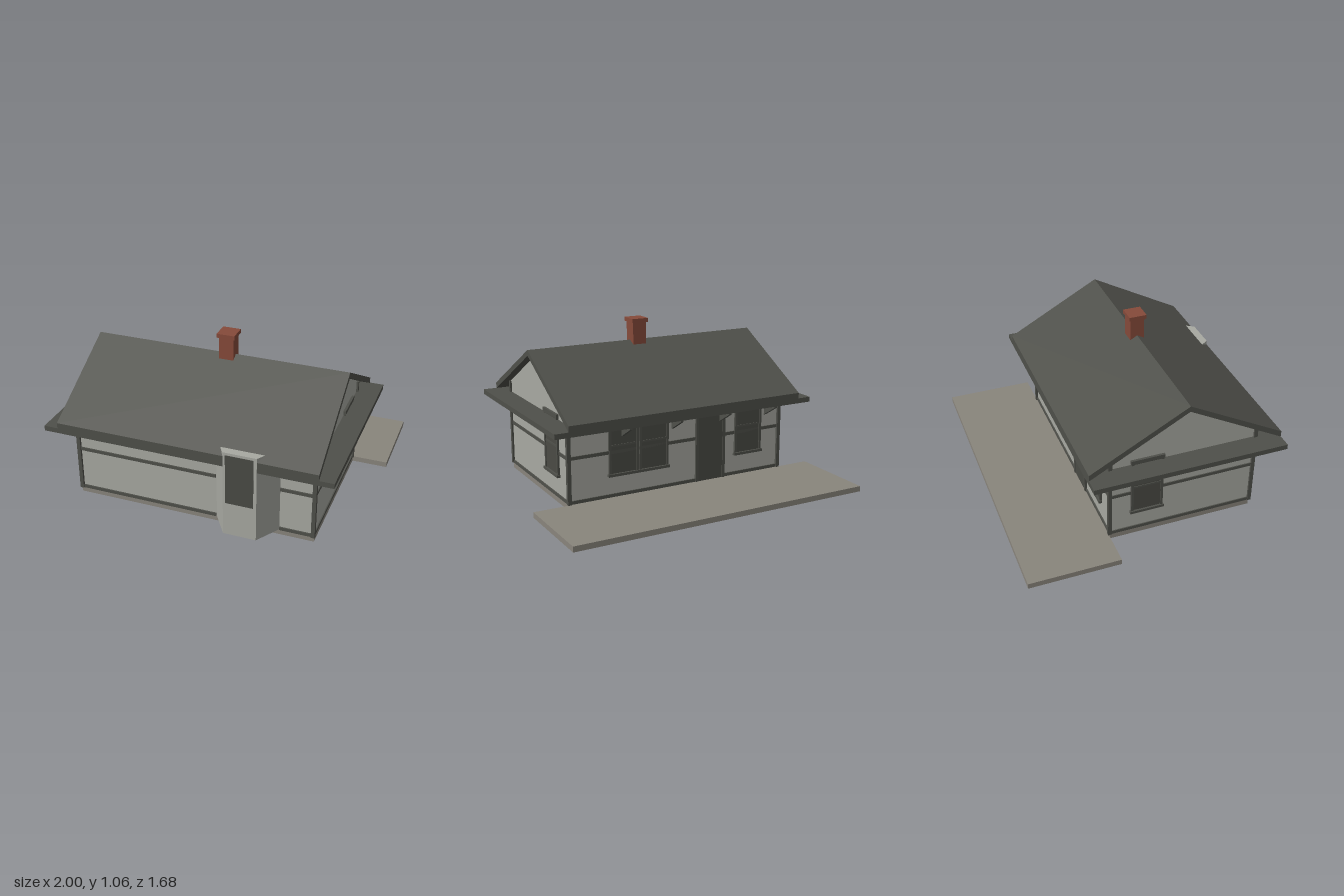
import * as THREE from 'three';

const mat = (name, color) => {
  const m = new THREE.MeshStandardMaterial({ color });
  m.name = name;
  return m;
};

export function createModel() {
  const house = new THREE.Group();
  house.name = 'house';
  const plaster = mat('plaster', 0xa8a9a2);
  const timber = mat('dark timber', 0x4f504a);
  const glass = mat('dark glass', 0x4a4b45);
  const stone = mat('stone', 0x89857c);
  const brick = mat('brick', 0x864a3a);

  const add = (parent, name, geo, m) => {
    const mesh = new THREE.Mesh(geo, m);
    mesh.name = name;
    parent.add(mesh);
    return mesh;
  };
  const box = (parent, name, m, x0, x1, y0, y1, z0, z1) => {
    const mesh = add(parent, name, new THREE.BoxGeometry(x1 - x0, y1 - y0, z1 - z0), m);
    mesh.position.set((x0 + x1) / 2, (y0 + y1) / 2, (z0 + z1) / 2);
    return mesh;
  };
  // Extrudes a [z, y] profile along x, centred on x
  const alongX = (points, width, x = 0) => {
    const shape = new THREE.Shape(points.map(p => new THREE.Vector2(...p)));
    return new THREE.ExtrudeGeometry(shape, { depth: width, bevelEnabled: false })
      .rotateY(-Math.PI / 2).translate(x + width / 2, 0, 0);
  };

  // Ground slabs
  box(house, 'floorSlab', stone, -0.77, 0.77, 0, 0.035, -0.26, 0.69);
  box(house, 'terrace', stone, -1, 1, 0, 0.035, -0.84, -0.26);

  // Walls with both gables
  add(house, 'walls', alongX([[-0.25, 0.035], [0.69, 0.035], [0.69, 0.625], [0.22, 0.88], [-0.25, 0.625]], 1.53), plaster);

  // Roof: pitched part over a flat eaves board
  add(house, 'roof', alongX([[-0.4, 0.535], [0.22, 0.875], [0.84, 0.535], [0.84, 0.575], [0.22, 0.912], [-0.4, 0.575]], 1.64), timber);
  box(house, 'eavesBoard', timber, -0.91, 0.91, 0.505, 0.538, -0.4, 0.839);

  // Chimney
  box(house, 'chimneyShaft', brick, 0.01, 0.103, 0.84, 1.03, 0.173, 0.266);
  box(house, 'chimneyCap', brick, 0, 0.114, 1.03, 1.056, 0.163, 0.277);

  // Corner posts and horizontal rails
  for (const x of [-0.765, 0.765])
    for (const z of [-0.253, 0.693])
      box(house, 'cornerPost', timber, x - 0.012, x + 0.012, 0.035, 0.612, z - 0.012, z + 0.012);
  for (const y of [0.035, 0.315]) {
    const top = y + 0.021;
    for (const s of [-1, 1])
      box(house, 'sideRail', timber, s * 0.767 - 0.005, s * 0.767 + 0.005, y, top, -0.25, 0.69);
    box(house, 'frontRail', timber, -0.765, 0.15, y, top, 0.685, 0.698);
    box(house, 'frontRail', timber, 0.555, 0.765, y, top, 0.685, 0.698);
    box(house, 'backRail', timber, -0.765, 0.765, y, top, -0.258, -0.245);
  }

  // Eaves brackets, front and back
  for (const x of [-0.66, -0.307, 0.046, 0.4]) {
    add(house, 'backBracket', alongX([[-0.25, 0.415], [-0.25, 0.505], [-0.37, 0.505], [-0.37, 0.487]], 0.018, x), timber);
    if (x < 0.2)
      add(house, 'frontBracket', alongX([[0.69, 0.415], [0.81, 0.487], [0.81, 0.505], [0.69, 0.505]], 0.018, x), timber);
  }

  // Angled bay at the front
  const bayShape = new THREE.Shape([[0.15, -0.685], [0.25, -0.841], [0.457, -0.841], [0.557, -0.685]].map(p => new THREE.Vector2(...p)));
  add(house, 'bay', new THREE.ExtrudeGeometry(bayShape, { depth: 0.567, bevelEnabled: false })
    .rotateX(-Math.PI / 2).translate(0, 0.035, 0), plaster);
  box(house, 'bayWindow', glass, 0.265, 0.438, 0.258, 0.585, 0.84, 0.844);

  // Sash window facing +z, wall plane at z = 0
  const sashWindow = (x, z, turn) => {
    const g = new THREE.Group();
    g.name = 'window';
    box(g, 'pane', glass, -0.1, 0.1, 0.18, 0.56, -0.005, 0.008);
    for (const s of [-1, 1])
      box(g, 'jamb', timber, s * 0.095 - 0.008, s * 0.095 + 0.008, 0.175, 0.56, -0.005, 0.014);
    box(g, 'header', timber, -0.108, 0.108, 0.547, 0.572, -0.005, 0.016);
    box(g, 'meetingRail', timber, -0.09, 0.09, 0.36, 0.372, -0.005, 0.012);
    box(g, 'sill', timber, -0.109, 0.109, 0.17, 0.187, -0.005, 0.021);
    g.position.set(x, 0, z);
    g.rotation.y = turn;
    house.add(g);
  };
  sashWindow(0.765, -0.015, Math.PI / 2);
  sashWindow(-0.765, -0.015, -Math.PI / 2);
  for (const x of [0.395, 0.185, -0.52]) sashWindow(x, -0.25, Math.PI);

  // Back door
  box(house, 'doorLeaf', glass, -0.325, -0.135, 0.035, 0.49, -0.26, -0.245);
  for (const x of [-0.33, -0.13])
    box(house, 'doorJamb', timber, x - 0.01, x + 0.01, 0.035, 0.505, -0.265, -0.245);
  box(house, 'doorHeader', timber, -0.34, -0.12, 0.48, 0.505, -0.266, -0.245);

  return house;
}
